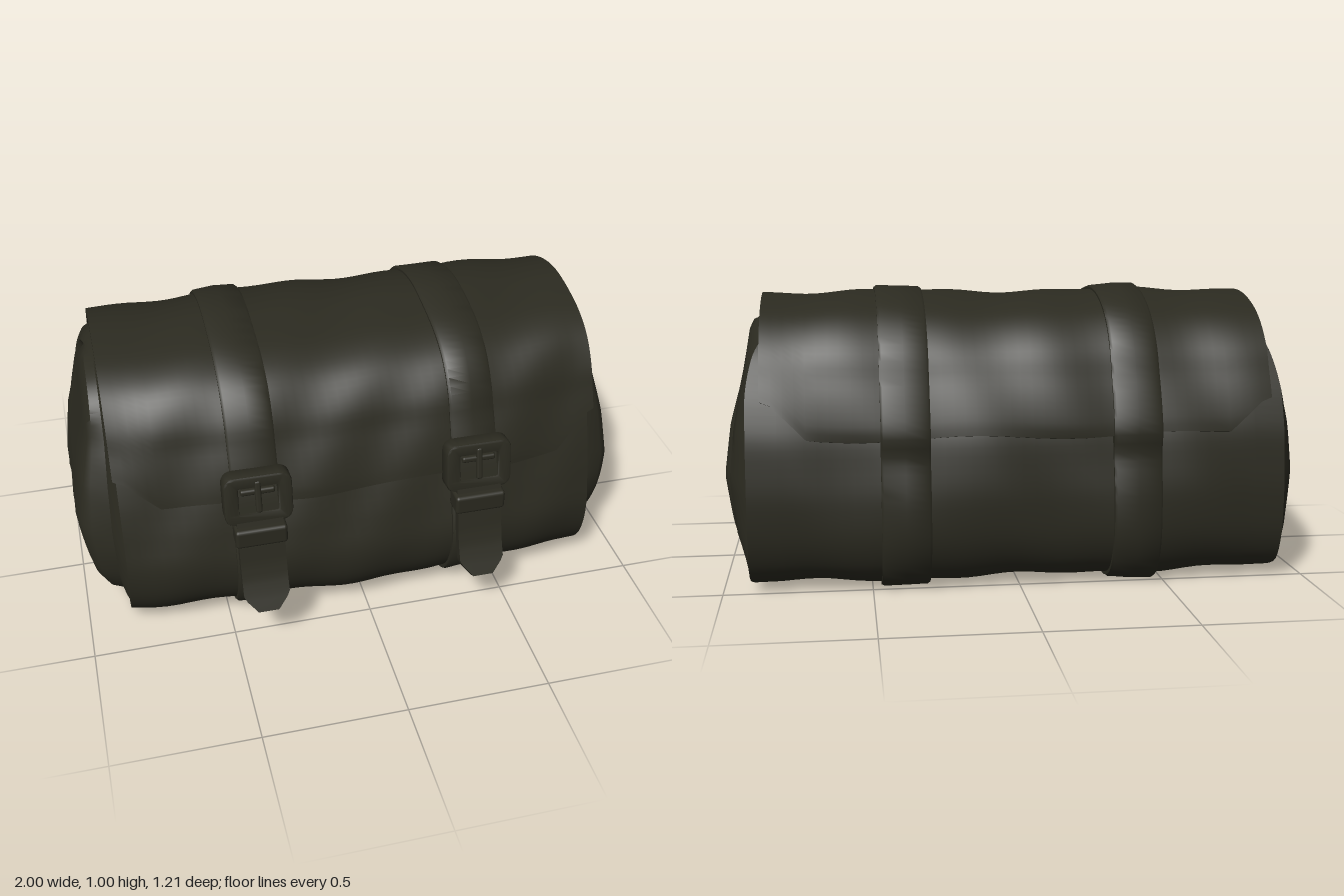
import * as THREE from 'three';
import { toCreasedNormals } from 'three/addons/utils/BufferGeometryUtils.js';
import { RoundedBoxGeometry } from 'three/addons/geometries/RoundedBoxGeometry.js';

const { lerp, smoothstep, clamp } = THREE.MathUtils;

// Bag side profile as (z, y): bottom, up the front, over the top, down the back
const PROFILE = [
  [-0.07, 0], [0.27, 0.005], [0.4, 0.05], [0.475, 0.14], [0.503, 0.27], [0.475, 0.4], [0.425, 0.55],
  [0.39, 0.7], [0.35, 0.8], [0.275, 0.89], [0.17, 0.945], [0, 0.98], [-0.12, 0.989], [-0.25, 0.968],
  [-0.38, 0.91], [-0.475, 0.815], [-0.525, 0.7], [-0.55, 0.58], [-0.575, 0.45], [-0.594, 0.3],
  [-0.582, 0.15], [-0.525, 0.05], [-0.42, 0.005],
];
const N = 240;
const TABLE = new THREE.CatmullRomCurve3(
  PROFILE.map(([z, y]) => new THREE.Vector3(0, y, z)), true).getSpacedPoints(N).slice(0, N);
const TOP = TABLE.reduce((best, p, i) => (p.y > TABLE[best].y ? i : best), 0);

const at = (u) => {
  const i = Math.floor(u);
  return TABLE[((i % N) + N) % N].clone().lerp(TABLE[(((i + 1) % N) + N) % N], u - i);
};

// Position along the profile at a given height, on the front or back
function uAtHeight(y, back) {
  let i = TOP;
  const step = back ? 1 : -1;
  while (at(i + step).y > y) i += step;
  const a = at(i).y, b = at(i + step).y;
  return i + step * (a - y) / (a - b);
}

function table(pts, v) {
  if (v <= pts[0][0]) return pts[0][1];
  for (let i = 1; i < pts.length; i++) {
    const [a, fa] = pts[i - 1], [b, fb] = pts[i];
    if (v <= b) return lerp(fa, fb, (v - a) / (b - a));
  }
  return pts[pts.length - 1][1];
}

const wrinkle = (x, p) =>
  0.006 * Math.sin(8 * x + 5 * p.y + 3 * p.z) + 0.004 * Math.sin(19 * x - 9 * p.y + 6 * p.z + 1);

// Flap and straps lift off the body near the flap edge
const lift = (y) => 0.026 * smoothstep(y, 0.45, 0.54) * (1 - smoothstep(y, 0.55, 0.75));

// Surface point: profile position, x and an offset chosen from the height
function surface(u, x, offset) {
  const p = at(u), t = at(u + 1).sub(at(u - 1)).normalize();
  const o = offset(p.y) + wrinkle(x, p);
  p.z += t.y * o;
  p.y = Math.max(0.002, p.y - t.z * o);
  p.z *= 1 - (p.z > 0 ? 0.19 : 0.05) * x * x;
  p.x = x;
  return p;
}

// Skin over rings closed along the profile, from left column to right column
function loft(rows, cols, fn) {
  const pos = [], idx = [];
  for (let j = 0; j < cols; j++) {
    for (let i = 0; i < rows; i++) pos.push(...fn(i, j).toArray());
  }
  for (let j = 0; j < cols - 1; j++) {
    for (let i = 0; i < rows; i++) {
      const k = (i + 1) % rows;
      const a = j * rows + i, b = a + rows, c = j * rows + k, d = c + rows;
      idx.push(a, b, c, b, d, c);
    }
  }
  const g = new THREE.BufferGeometry();
  g.setAttribute('position', new THREE.Float32BufferAttribute(pos, 3));
  g.setIndex(idx);
  return toCreasedNormals(g, 0.7);
}

// Body whose ends bulge: stepped in from the rim at the front, full towards the back
function bodyGeometry() {
  // each ring: y scale, then z scale and share of the bulge for the front and for the back
  const rings = [[0, 0, 1, 0, 1], [0.2, 0.2, 1, 0.2, 1], [0.45, 0.42, 1, 0.4, 1], [0.7, 0.58, 0.96, 0.58, 0.93],
    [0.85, 0.69, 0.86, 0.66, 0.8], [0.91, 0.74, 0.68, 0.71, 0.5], [0.93, 0.77, 0.22, 0.76, 0.68],
    [0.955, 0.87, 0.1, 0.87, 0.5], [0.975, 0.95, -0.06, 0.95, 0.25], [1, 1, 0, 1, 0]];
  const cols = rings.map((ring) => ({ side: -1, ring }));
  for (let i = 1; i < 40; i++) cols.push({ x: lerp(-0.85, 0.85, i / 40) });
  rings.slice().reverse().forEach((ring) => cols.push({ side: 1, ring }));
  const bulge = [[0, 0.88], [0.05, 0.91], [0.2, 0.97], [0.38, 0.998], [0.55, 0.975], [0.7, 0.935], [0.88, 0.92]];
  const offset = (y) => lerp(-0.01, -0.055, smoothstep(y, 0.5, 0.8));
  return loft(N / 2, cols.length, (i, j) => {
    const { side, ring, x } = cols[j];
    const p = surface(i * 2, side ? side * 0.85 : x, offset);
    if (side) {
      const back = smoothstep(-p.z, 0, 0.3);
      const rim = 0.85 + 0.06 * smoothstep(-p.z, 0.3, 0.5) * (1 - smoothstep(p.y, 0.8, 0.9));
      p.y = lerp(0.42, p.y, ring[0]);
      p.z = lerp(-0.04, p.z, lerp(ring[1], ring[3], back));
      p.x = side * lerp(rim, table(bulge, p.y), lerp(ring[2], ring[4], back));
    }
    return p;
  });
}

// Thick flap over the top with clipped lower corners
function flapGeometry() {
  const half = 64, cols = 49;
  return loft(half * 2, cols, (i, j) => {
    const x = (clamp((j - 1) / (cols - 3), 0, 1) * 2 - 1) * 0.862;
    const capped = j === 0 || j === cols - 1;
    const edge = 0.525 + 0.12 * clamp((Math.abs(x) - 0.71) / 0.13, 0, 1) + 0.008 * Math.sin(9 * x);
    const inner = i >= half;
    const t = (inner ? 2 * half - 1 - i : i) / (half - 1);
    const u = lerp(uAtHeight(edge, false), uAtHeight(edge, true), t);
    const depth = capped ? 0.018 : inner ? 0.035 : 0;
    return surface(u, x, (y) => -0.006 + lift(y) - depth);
  });
}

// Strap wrapped fully around the bag
function strapGeometry(cx) {
  const h = 0.082;
  const cols = [[-h, -0.04], [-h, 0.006], [-h + 0.008, 0.012], [0, 0.014], [h - 0.008, 0.012], [h, 0.006], [h, -0.04]];
  return loft(N / 2, cols.length, (i, j) =>
    surface(i * 2, cx + cols[j][0], (y) => cols[j][1] - 0.004 + lift(y)));
}

function roundedRect(path, w, h, r) {
  const x = w / 2, y = h / 2;
  path.moveTo(-x + r, -y).lineTo(x - r, -y).quadraticCurveTo(x, -y, x, -y + r);
  path.lineTo(x, y - r).quadraticCurveTo(x, y, x - r, y);
  path.lineTo(-x + r, y).quadraticCurveTo(-x, y, -x, y - r);
  path.lineTo(-x, -y + r).quadraticCurveTo(-x, -y, -x + r, -y);
  return path;
}

// Loose strap end: a box bent along a curve, tapered at its tip
function strapEndGeometry() {
  const bend = [[0.17, 0.59], [0.22, 0.565], [0.28, 0.54], [0.34, 0.522], [0.42, 0.506], [0.5, 0.482], [0.58, 0.46], [0.65, 0.435]];
  const g = new THREE.BoxGeometry(0.16, 0.46, 0.032, 4, 24, 1);
  const p = g.attributes.position;
  for (let i = 0; i < p.count; i++) {
    const y = p.getY(i) + 0.4;
    const tilt = p.getZ(i) * 0.6 * (1 - smoothstep(y, 0.17, 0.32));
    p.setXYZ(i, p.getX(i) * lerp(0.45, 1, clamp((y - 0.17) / 0.05, 0, 1)), y + tilt, p.getZ(i) + table(bend, y));
  }
  return toCreasedNormals(g, 0.7);
}

export function createModel() {
  const group = new THREE.Group();
  const canvas = new THREE.MeshStandardMaterial({ color: 0x2b2a20 });
  canvas.name = 'dark olive canvas';
  const add = (parent, name, geometry, x = 0, y = 0, z = 0) => {
    const mesh = new THREE.Mesh(geometry, canvas);
    mesh.name = name;
    mesh.position.set(x, y, z);
    parent.add(mesh);
    return mesh;
  };

  add(group, 'body', bodyGeometry());
  add(group, 'flap', flapGeometry());

  // Buckle frame with a window for the strap
  const shape = roundedRect(new THREE.Shape(), 0.22, 0.17, 0.035);
  shape.holes.push(roundedRect(new THREE.Path(), 0.15, 0.11, 0.012));
  const frame = toCreasedNormals(new THREE.ExtrudeGeometry(shape, {
    depth: 0.05, bevelSize: 0.008, bevelThickness: 0.008, bevelSegments: 2, curveSegments: 5,
  }), 0.7);

  for (const [side, x] of [['right', -0.392], ['left', 0.388]]) {
    add(group, side + 'Strap', strapGeometry(x));
    const buckle = new THREE.Group();
    buckle.name = side + 'Buckle';
    buckle.position.x = x;
    group.add(buckle);
    add(buckle, 'buckleFrame', frame, 0, 0.57, 0.43).rotation.x = -0.14;
    add(buckle, 'buckleProng', new RoundedBoxGeometry(0.022, 0.12, 0.02, 2, 0.008), 0, 0.59, 0.482).rotation.x = -0.2;
    add(buckle, 'buckleBar', new RoundedBoxGeometry(0.12, 0.022, 0.022, 2, 0.008), 0, 0.605, 0.47);
    add(buckle, 'keeperLoop', new RoundedBoxGeometry(0.18, 0.072, 0.08, 2, 0.012), 0, 0.445, 0.49);
    add(buckle, 'strapEnd', strapEndGeometry());
  }
  return group;
}
